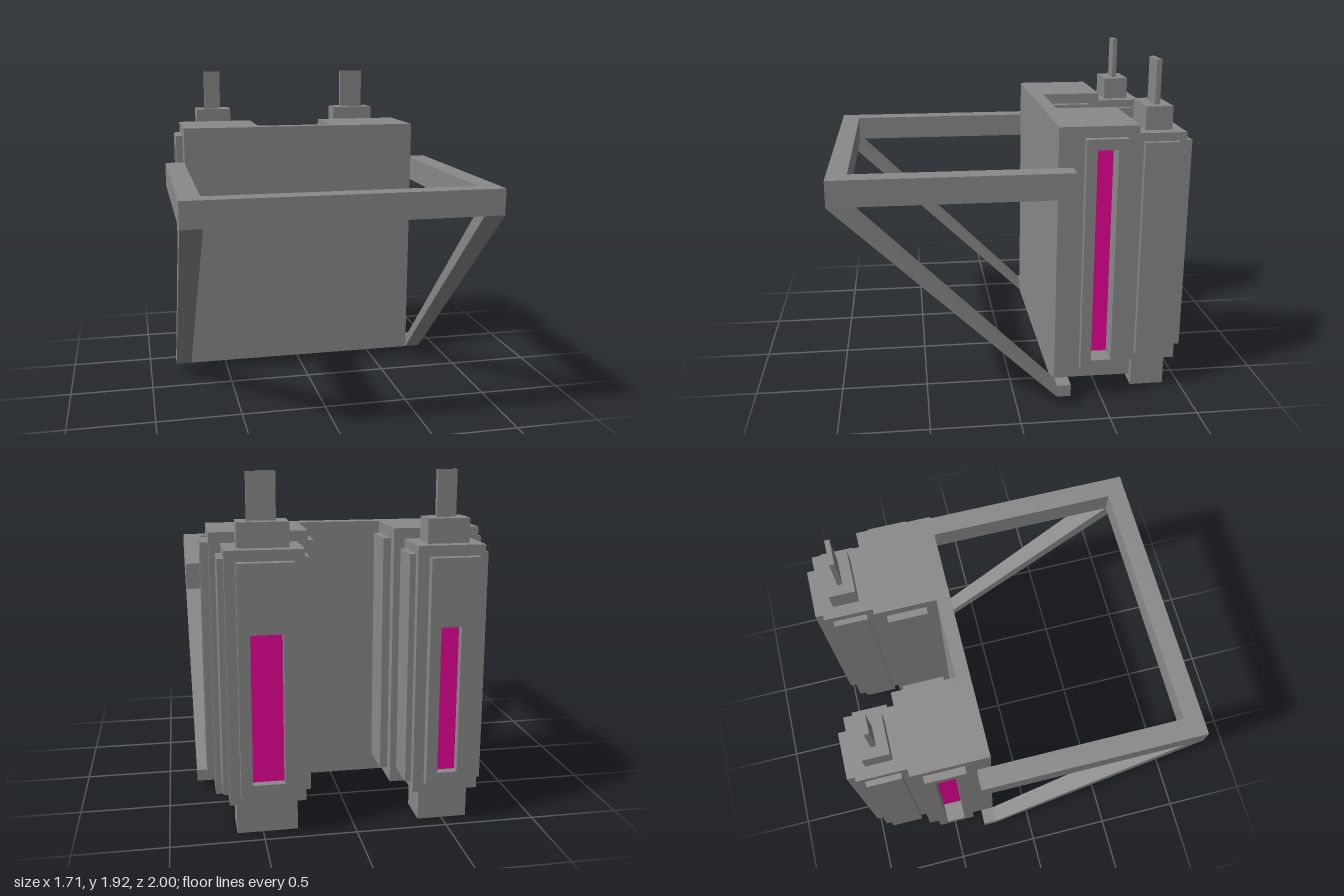
import * as THREE from 'three';

const grey = new THREE.MeshStandardMaterial({ color: 0x898989, flatShading: true });
const pink = new THREE.MeshStandardMaterial({ color: 0xea0099, flatShading: true });

function add(parent, name, geometry, material = grey) {
  const mesh = new THREE.Mesh(geometry, material);
  mesh.name = name;
  parent.add(mesh);
  return mesh;
}

// Box given by its extents on each axis
function box(parent, name, [x0, x1], [y0, y1], [z0, z1], material) {
  const g = new THREE.BoxGeometry(Math.abs(x1 - x0), y1 - y0, z1 - z0);
  g.translate((x0 + x1) / 2, (y0 + y1) / 2, (z0 + z1) / 2);
  return add(parent, name, g, material);
}

// Rectangular slab with a rectangular hole, extruded along local z
function ring([u0, u1], [v0, v1], [a0, a1], [b0, b1], depth) {
  const rect = (p, q, r, t) => [[p, r], [q, r], [q, t], [p, t]].map(c => new THREE.Vector2(...c));
  const shape = new THREE.Shape(rect(u0, u1, v0, v1));
  shape.holes.push(new THREE.Path(rect(a0, a1, b0, b1)));
  return new THREE.ExtrudeGeometry(shape, { depth, bevelEnabled: false });
}

// Slab whose hole runs along x, from x0 to x1; u is z and v is y
function ringX([x0, x1], z, y, hz, hy) {
  const g = ring(z, y, hz, hy, Math.abs(x1 - x0));
  return g.rotateY(-Math.PI / 2).translate(Math.max(x0, x1), 0, 0);
}

// One tower: front block with a side slot, and a rear case with cap, blade and socket
function tower(s, d) {
  const t = new THREE.Group();
  t.name = s > 0 ? 'leftTower' : 'rightTower';
  const X = ([a, b]) => [s * a, s * b].sort((p, q) => p - q);
  const slotZ = [-0.545, -0.43], slotY = [0.247, 1.48], floor = 0.66;

  // Front block, with the slot cut through its outer part
  box(t, 'blockCore', X([d.block, floor]), [0.128, 1.602], [-0.667, -0.227]);
  add(t, 'blockOuter', ringX(X([floor, 0.74]), [-0.667, -0.227], [0.128, 1.602], slotZ, slotY));
  add(t, 'slotFrame', ringX(X([0.74, 0.782]), [-0.6, -0.37], [0.19, 1.54], slotZ, slotY));
  box(t, 'slotGlow', X([floor - 0.01, floor + 0.004]), slotY, slotZ, pink);
  box(t, 'innerPanel', X([d.block - 0.042, d.block]), [0.19, 1.54], [-0.6, -0.37]);

  // Rear case and its side panels
  box(t, 'rearCase', X(d.rear), [0.186, 1.545], [-0.95, -0.667]);
  box(t, 'rearSidePanels', X([d.rear[0] - 0.032, d.rear[1] + 0.032]), [0.228, 1.498], [-0.905, -0.71]);

  // Back panel with its window
  const winX = X(d.window), winY = [0.31, 1.12];
  const back = ring(X(d.back), [0.243, 1.487], winX, winY, 0.05);
  add(t, 'backPanel', back.translate(0, 0, -1));
  box(t, 'backGlow', winX, winY, [-0.954, -0.945], pink);

  // Cap and blade on top
  box(t, 'cap', X(d.cap), [1.545, 1.677], [-0.885, -0.735]);
  box(t, 'blade', X(d.blade), [1.677, 1.925], [-0.825, -0.797]);

  // Hollow socket underneath
  const [sx0, sx1] = X(d.socket), w = (sx1 - sx0) * 0.19;
  const socket = ring([sx0, sx1], [-0.905, -0.708], [sx0 + w, sx1 - w], [-0.86, -0.755], 0.186);
  add(t, 'socket', socket.rotateX(Math.PI / 2).translate(0, 0.186, 0));
  return t;
}

// Slanted brace, narrowing on its outer side toward the foot
function brace(s) {
  const shape = new THREE.Shape([[-0.227, 0.058], [1, 1.235], [0.89, 1.235], [-0.227, 0.127]]
    .map(p => new THREE.Vector2(...p)));
  const g = new THREE.ExtrudeGeometry(shape, { depth: 0.117, bevelEnabled: false });
  g.rotateY(-Math.PI / 2).translate(s > 0 ? 0.857 : -0.74, 0, 0);
  const p = g.attributes.position;
  for (let i = 0; i < p.count; i++) {
    if (Math.abs(p.getX(i)) > 0.8) p.setX(i, s * (0.835 + 0.022 * (p.getY(i) - 0.058) / 1.177));
  }
  g.computeVertexNormals();
  return g;
}

export function createModel() {
  const model = new THREE.Group();
  model.name = 'carryRig';

  // Front plate and the foot bar along its lower edge
  box(model, 'plate', [-0.74, 0.74], [0.058, 1.602], [-0.307, -0.227]);
  box(model, 'footBar', [-0.835, 0.835], [0.058, 0.127], [-0.307, -0.227]);

  // Projecting frame with braces
  box(model, 'frontBar', [-0.74, 0.74], [1.235, 1.38], [0.89, 1]);
  for (const s of [1, -1]) {
    box(model, 'arm', [s * 0.74, s * 0.857], [1.235, 1.38], [-0.307, 1]);
    add(model, 'brace', brace(s));
  }

  // The two towers, the right one slightly narrower
  model.add(tower(1, {
    block: 0.212, rear: [0.27, 0.678], back: [0.328, 0.621], window: [0.388, 0.558],
    cap: [0.339, 0.608], blade: [0.4, 0.552], socket: [0.311, 0.64],
  }));
  model.add(tower(-1, {
    block: 0.262, rear: [0.32, 0.683], back: [0.38, 0.645], window: [0.44, 0.55],
    cap: [0.388, 0.615], blade: [0.45, 0.556], socket: [0.365, 0.642],
  }));
  return model;
}
